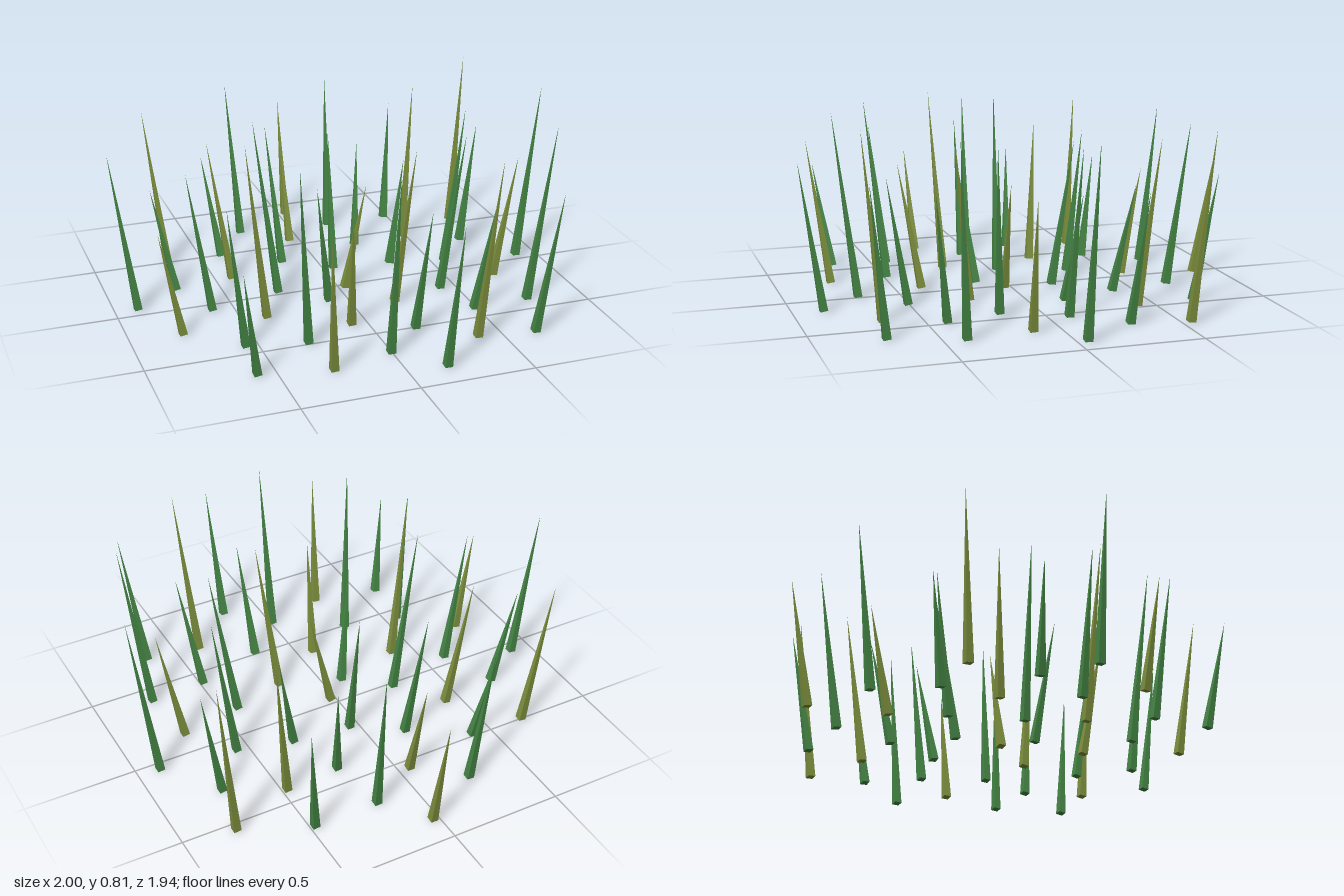
import * as THREE from 'three';

const COUNT = 40;
const GOLDEN_ANGLE = Math.PI * (3 - Math.sqrt(5));
const SPACING = 0.1505;    // spiral radius = SPACING * sqrt(index)
const LEAN = 0.1;          // outward shift of every tip
const HALF_WIDTH = 0.0165; // half the side of the square base
const UP = new THREE.Vector3(0, 1, 0);

// Upright four-sided spike with its sides square to the axes
function bladeGeometry(height) {
  const length = Math.hypot(height, LEAN);
  const cone = new THREE.ConeGeometry(HALF_WIDTH * Math.SQRT2, length, 4, 1, false, Math.PI / 4);
  cone.translate(0, length / 2, 0);
  return cone;
}

export function createModel() {
  const green = new THREE.MeshStandardMaterial({ color: 0x468746, flatShading: true });
  green.name = 'grass green';
  const olive = new THREE.MeshStandardMaterial({ color: 0x7f913e, flatShading: true });
  olive.name = 'olive green';

  // Five blade heights, used in turn
  const heights = [0, 1, 2, 3, 4].map((k) => 0.478 + 0.083 * k);
  const blades = heights.map(bladeGeometry);

  const tuft = new THREE.Group();
  tuft.name = 'grassTuft';
  // Blades follow a sunflower spiral and lean outward, every third one olive
  for (let i = 0; i < COUNT; i++) {
    const angle = i * GOLDEN_ANGLE;
    const radius = SPACING * Math.sqrt(i);
    const cos = Math.cos(angle);
    const sin = Math.sin(angle);
    const direction = new THREE.Vector3(LEAN * cos, heights[i % 5], LEAN * sin).normalize();

    const blade = new THREE.Mesh(blades[i % 5], i % 3 === 0 ? olive : green);
    blade.name = 'grassBlade' + (i + 1);
    blade.position.set(0.025 + radius * cos, 0.003, 0.03 + radius * sin);
    blade.quaternion.setFromUnitVectors(UP, direction);
    tuft.add(blade);
  }
  return tuft;
}
